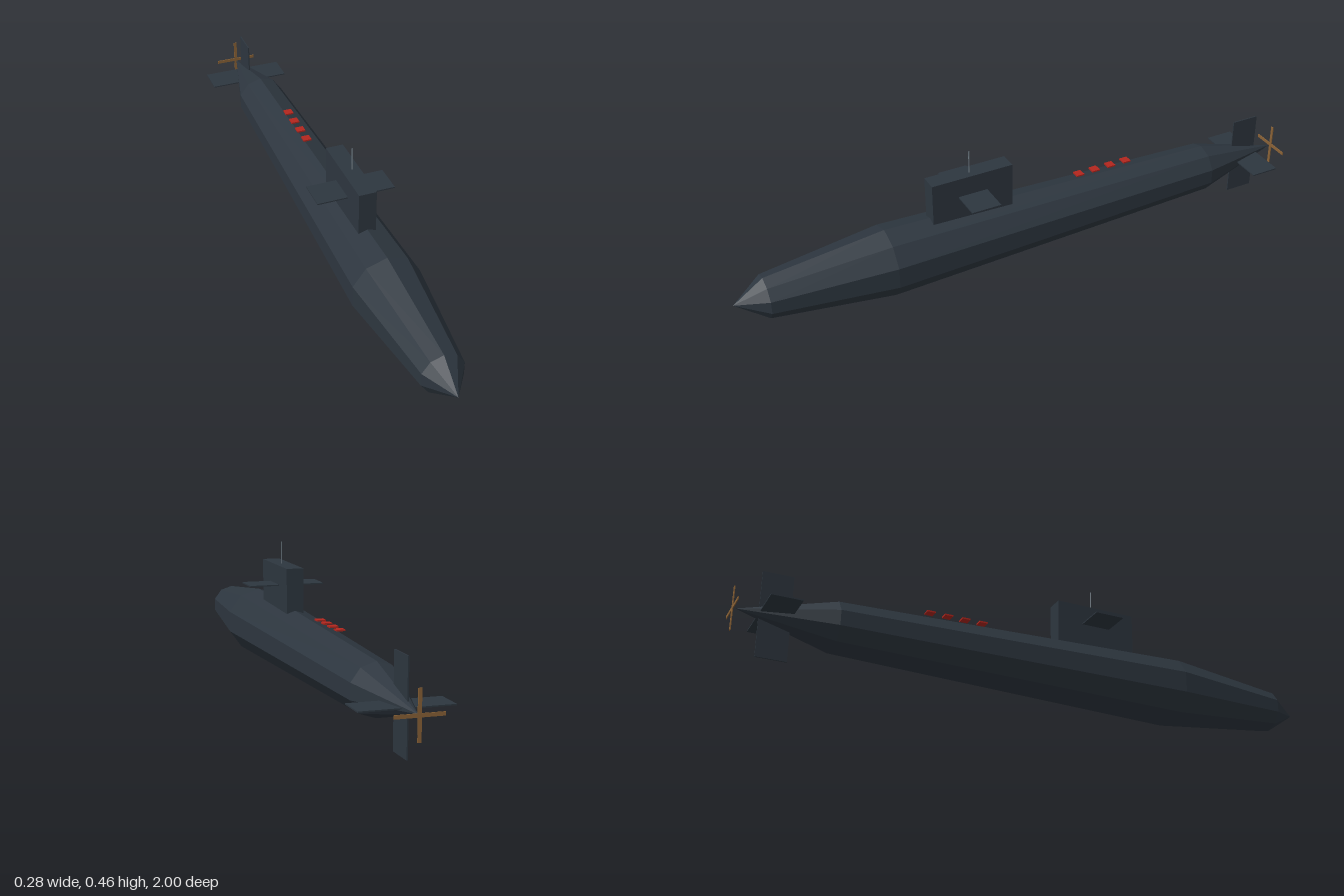
import * as THREE from 'three';

export function createModel() {
  const model = new THREE.Group();
  model.name = 'submarine';

  const paint = (name, color) => {
    const m = new THREE.MeshStandardMaterial({ color, flatShading: true });
    m.name = name;
    return m;
  };
  const hullPaint = paint('hullSlate', 0x2d363f);
  const hatchPaint = paint('hatchRed', 0xb3261e);
  const bronze = paint('propellerBronze', 0x8a6236);
  const steel = paint('mastSteel', 0x6b7780);

  const axisY = 0.142;
  const add = (name, geometry, material, x, y, z) => {
    const mesh = new THREE.Mesh(geometry, material);
    mesh.name = name;
    mesh.position.set(x, y, z);
    model.add(mesh);
    return mesh;
  };
  const box = (name, material, size, pos) =>
    add(name, new THREE.BoxGeometry(...size), material, ...pos);

  // Ten-sided hull, stern to bow, turned to lie along z
  const profile = [[0, -0.99], [0.082, -0.69], [0.116, 0.5], [0.07, 0.9], [0, 1]];
  const hull = new THREE.LatheGeometry(profile.map(([r, z]) => new THREE.Vector2(r, z)), 10);
  hull.rotateX(Math.PI / 2);
  add('hull', hull, hullPaint, 0, axisY, 0);

  // Sail with its diving planes and mast
  box('sail', hullPaint, [0.058, 0.187, 0.28], [0, 0.2935, 0.204]);
  box('sailPlanes', hullPaint, [0.258, 0.004, 0.1], [0, 0.32, 0.204]);
  add('periscope', new THREE.CylinderGeometry(0.0022, 0.0022, 0.08, 6), steel, 0.0045, 0.423, 0.204);

  // Tail fins
  box('sternPlanes', hullPaint, [0.281, 0.004, 0.097], [0, axisY, -0.871]);
  box('rudder', hullPaint, [0.004, 0.283, 0.097], [0, 0.1415, -0.871]);

  // Crossed propeller blades
  box('propellerBladeVertical', bronze, [0.011, 0.145, 0.003], [0, axisY, -0.9985]);
  box('propellerBladeHorizontal', bronze, [0.145, 0.011, 0.003], [0, axisY, -0.9985]);

  // Row of hatches along the deck
  for (let i = 0; i < 4; i++) {
    box('hatch' + (i + 1), hatchPaint, [0.028, 0.005, 0.028], [0, 0.258, -0.198 - i * 0.06]);
  }

  return model;
}
